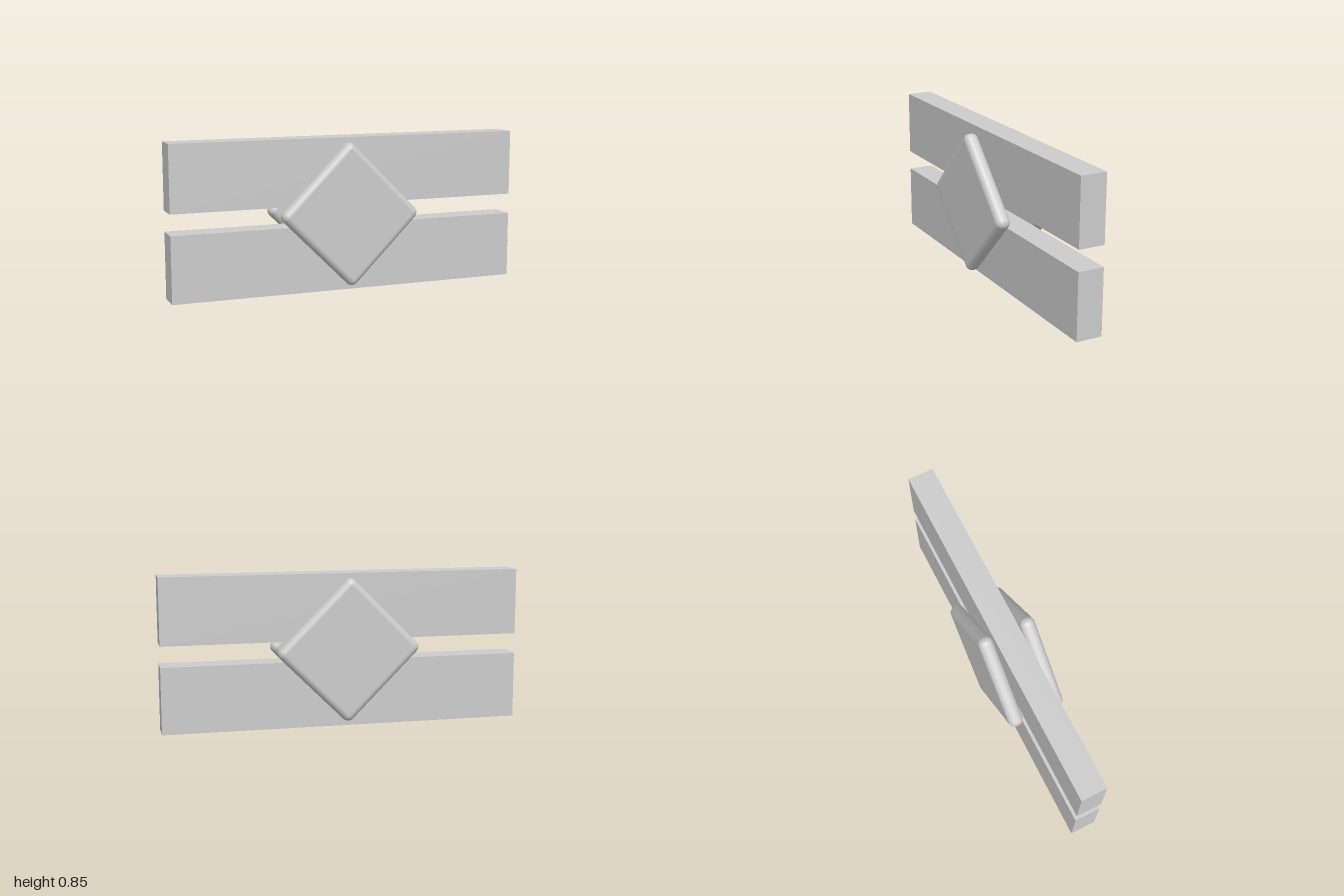
import * as THREE from 'three';
import { RoundedBoxGeometry } from 'three/addons/geometries/RoundedBoxGeometry.js';

export function createModel() {
  const model = new THREE.Group();
  const material = new THREE.MeshStandardMaterial({ color: 0xcccccc });

  function add(name, geometry, x, y, z) {
    const mesh = new THREE.Mesh(geometry, material);
    mesh.name = name;
    mesh.position.set(x, y, z);
    model.add(mesh);
    return mesh;
  }

  // Two long parallel planks with a gap between them
  const plank = new THREE.BoxGeometry(2, 0.367, 0.145);
  add('lowerPlank', plank, 0, 0.1835, -0.0075);
  add('upperPlank', plank, 0, 0.6645, -0.0075);

  // Rounded diamond plates, one on each face of the planks
  const plate = new RoundedBoxGeometry(0.567, 0.587, 0.082, 4, 0.037);
  for (const [name, z] of [['frontPlate', 0.123], ['backPlate', -0.122]]) {
    add(name, plate, -0.019, 0.4295, z).rotation.z = Math.PI / 4;
  }

  return model;
}
